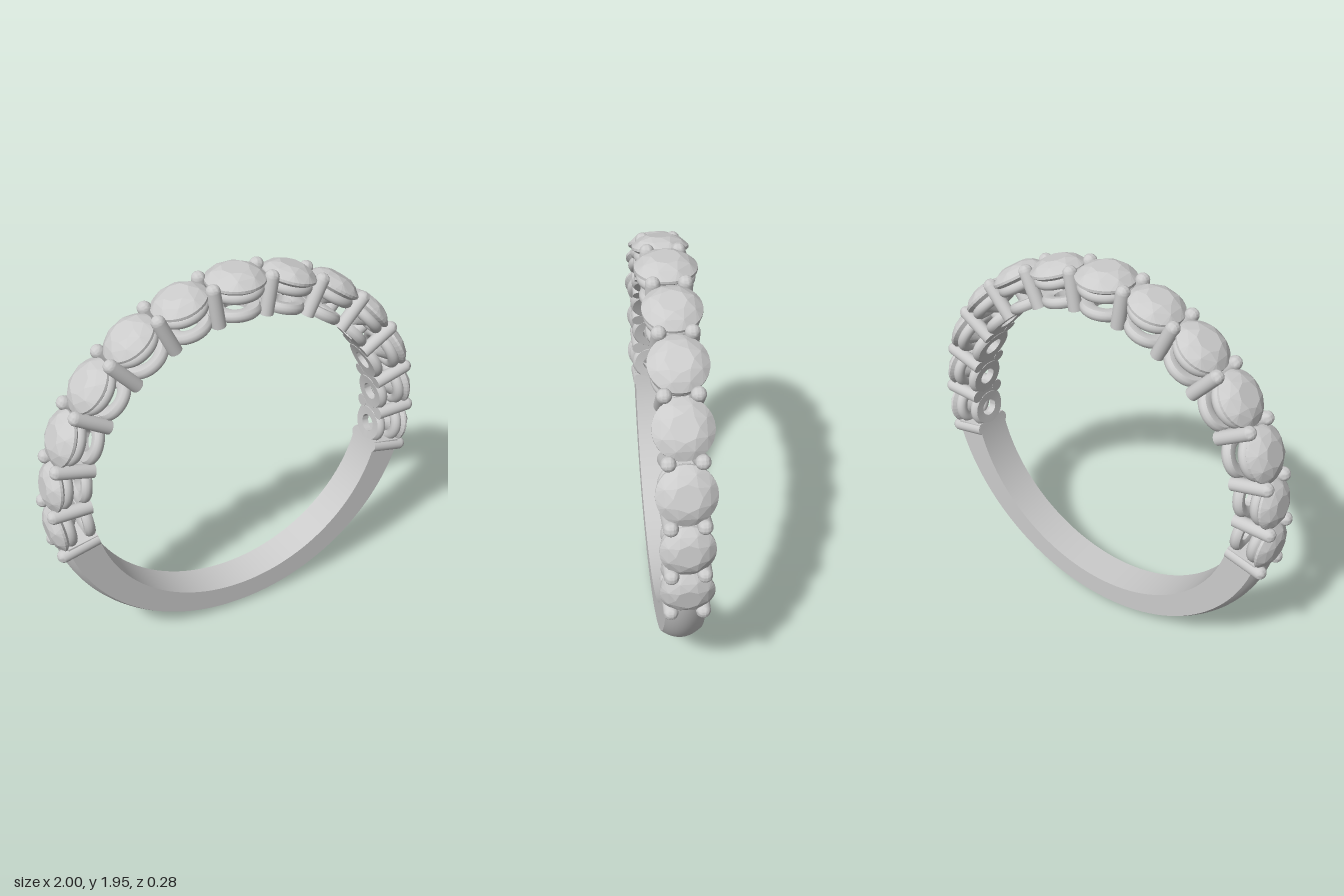
import * as THREE from 'three';
import { toCreasedNormals } from 'three/addons/utils/BufferGeometryUtils.js';
import { ConvexGeometry } from 'three/addons/geometries/ConvexGeometry.js';

const CENTRE_Y = 0.94;                       // height of the finger-hole centre
const INNER = 0.788;                         // finger-hole radius
const rad = THREE.MathUtils.degToRad;

// Stones shrink away from the top: size, and the half angle each one takes up
const SIZES = [
  { scale: 1, half: rad(8.7), count: 1 },
  { scale: 0.935, half: rad(8.2), count: 4 },
  { scale: 0.86, half: rad(7.2), count: 2 },
];
const END = rad(103.1);                      // angle of the last prongs
const SHANK_START = END - rad(2.2);          // the shank swallows the foot of the last prongs

const metal = new THREE.MeshStandardMaterial({ color: 0xcccccc });
const gem = new THREE.MeshStandardMaterial({ color: 0xcccccc, flatShading: true });

// Brilliant-cut stone: table, crown, girdle and pointed pavilion
function stoneGeometry(scale) {
  const points = [];
  const circle = (n, radius, y, turn = 0) => {
    for (let i = 0; i < n; i++) {
      const a = (i + turn) / n * Math.PI * 2;
      points.push(new THREE.Vector3(radius * Math.cos(a), y, radius * Math.sin(a)));
    }
  };
  circle(8, 0.065, 0.1);
  circle(8, 0.108, 0.082, 0.5);
  circle(32, 0.14, 0.051);
  circle(32, 0.14, 0.038);
  circle(8, 0.038, -0.04, 0.5);
  points.push(new THREE.Vector3(0, -0.07, 0));
  return new ConvexGeometry(points).scale(scale, scale, scale).translate(0, 0.906, 0);
}

// Round wire ring under the girdle
function seatGeometry(scale) {
  return new THREE.TorusGeometry(0.131 * scale - 0.028, 0.028, 16, 40)
    .rotateX(Math.PI / 2).translate(0, 0.906, 0);
}

// Flat washer with a rounded outer wall, bent to follow the finger hole
function baseRingGeometry(scale) {
  const y0 = INNER, y1 = 0.837, hole = 0.053 * scale, outer = 0.12 * scale;
  const profile = [[hole, y0], [outer - 0.012, y0], [outer - 0.003, y0 + 0.01], [outer, y0 + 0.024],
    [outer - 0.004, y0 + 0.038], [outer - 0.016, y1], [hole + 0.02, y1], [hole, y1 - 0.012], [hole, y0]];
  const lathe = new THREE.LatheGeometry(profile.map(([x, y]) => new THREE.Vector2(x, y)), 40);
  const p = lathe.attributes.position;
  for (let i = 0; i < p.count; i++) {
    const a = p.getX(i) / 0.81, r = p.getY(i);
    p.setXY(i, r * Math.sin(a), r * Math.cos(a));
  }
  return toCreasedNormals(lathe, 0.7);
}

// Round wire prong with a domed tip
function prongGeometry() {
  const radius = 0.033, bottom = INNER, top = 0.998;
  const profile = [new THREE.Vector2(0, bottom), new THREE.Vector2(radius, bottom)];
  for (let i = 0; i <= 8; i++) {
    const a = i / 8 * Math.PI / 2;
    profile.push(new THREE.Vector2(radius * Math.cos(a), top - radius + radius * Math.sin(a)));
  }
  return toCreasedNormals(new THREE.LatheGeometry(profile, 20), 0.7);
}

// Plain band swept round the lower arc: flat inside and sides, domed outside, thicker at its ends
function shankGeometry() {
  const SEG = 96, DOME = 10, HALF = 0.09;
  const sections = [];
  for (let i = 0; i <= SEG; i++) {
    const t = i / SEG;
    const a = SHANK_START + t * 2 * (Math.PI - SHANK_START);
    const outer = 0.94 + 0.035 * Math.pow(Math.abs(2 * t - 1), 1.5);
    const loop = [[-HALF, INNER], [HALF, INNER]];
    for (let k = 0; k <= DOME; k++) {
      const s = 1 - 2 * k / DOME;
      loop.push([HALF * s, outer - 0.035 * s * s]);
    }
    sections.push(loop.map(([z, r]) => [r * Math.sin(a), r * Math.cos(a), z]));
  }
  const n = sections[0].length, index = [];
  for (let i = 0; i < SEG; i++) {
    for (let k = 0; k < n; k++) {
      const a = i * n + k, b = i * n + (k + 1) % n;
      index.push(a, a + n, b, b, a + n, b + n);
    }
  }
  // End caps
  const last = SEG * n;
  for (let k = 1; k < n - 1; k++) {
    index.push(0, k, k + 1);
    index.push(last, last + k + 1, last + k);
  }
  const g = new THREE.BufferGeometry();
  g.setAttribute('position', new THREE.Float32BufferAttribute(sections.flat(2), 3));
  g.setIndex(index);
  return toCreasedNormals(g, 0.5);
}

export function createModel() {
  const model = new THREE.Group();
  model.name = 'ring';
  const band = new THREE.Group();
  band.name = 'band';
  band.position.y = CENTRE_Y;
  model.add(band);

  const add = (parent, name, geometry, material = metal) => {
    const mesh = new THREE.Mesh(geometry, material);
    mesh.name = name;
    parent.add(mesh);
    return mesh;
  };
  const addGroup = (name, angle) => {
    const group = new THREE.Group();
    group.name = name;
    group.rotation.z = -angle;
    band.add(group);
    return group;
  };

  add(band, 'shank', shankGeometry());

  const prong = prongGeometry();
  const bridge = new THREE.BoxGeometry(0.05, 0.044, 0.09).translate(0, 0.812, 0);

  // Walk from the top stone down both sides: a setting, then the prongs beyond it
  let edge = -SIZES[0].half;
  for (const { scale, half, count } of SIZES) {
    const stone = stoneGeometry(scale), seat = seatGeometry(scale), base = baseRingGeometry(scale);
    for (let i = 0; i < count; i++) {
      const middle = edge + half;
      edge += 2 * half;
      for (const side of middle === 0 ? [1] : [-1, 1]) {
        const setting = addGroup('setting', side * middle);
        add(setting, 'stone', stone, gem);
        add(setting, 'seatRing', seat);
        add(setting, 'baseRing', base);
      }
      for (const side of [-1, 1]) {
        const pair = addGroup('prongPair', side * edge);
        for (const z of [-0.071, 0.071]) add(pair, 'prong', prong).position.z = z;
        add(pair, 'bridge', bridge);
      }
    }
  }
  return model;
}
